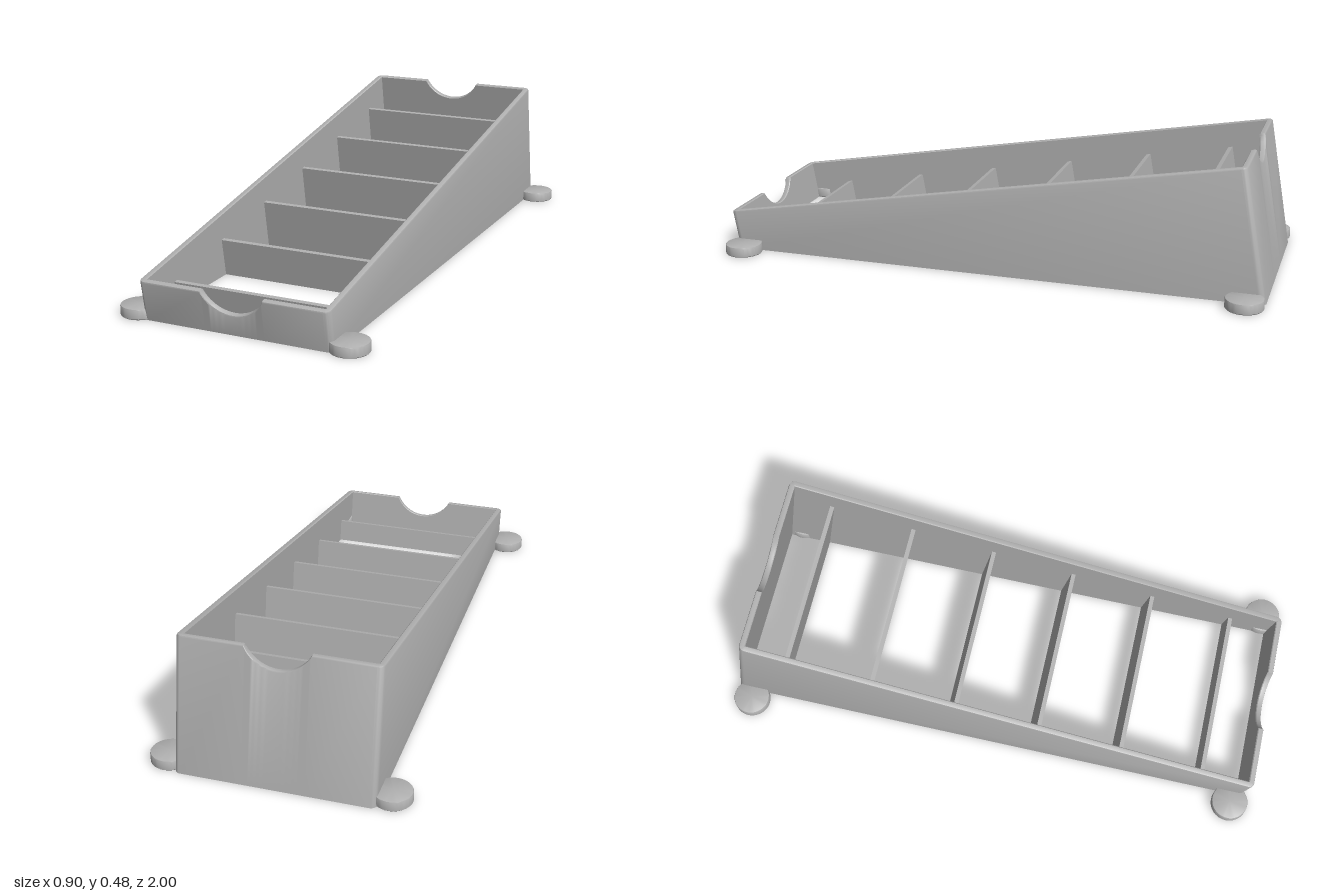
import * as THREE from 'three';
import { toCreasedNormals } from 'three/addons/utils/BufferGeometryUtils.js';

const TILT = THREE.MathUtils.degToRad(10); // the tray leans back by this angle
const HALF_X = 0.323, BACK = -0.962, FRONT = 0.938; // inner faces of the walls
const WALL = 0.022, RIM = 0.313, BEVEL = 0.006;
const SCOOP_R = 0.126, SCOOP_HALF = 0.113, SCOOP_RISE = 0.056;

// height, in the leaning frame, at which a point reaches the ground
const groundAt = (z) => z * Math.tan(TILT);

// Inner outline with outward directions and the depth of the thumb scoop
function outline() {
  const pts = [];
  const corners = [[HALF_X, FRONT], [-HALF_X, FRONT], [-HALF_X, BACK], [HALF_X, BACK]];
  corners.forEach(([x, z], i) => {
    for (let s = 0; s <= 6; s++) {
      const a = (i + s / 6) * Math.PI / 2;
      pts.push({ x, z, nx: Math.cos(a), nz: Math.sin(a), dip: 0 });
    }
    if (i % 2 === 0) { // front and back walls carry a scoop
      const side = i === 0 ? 1 : -1;
      for (let s = 0; s <= 28; s++) {
        const sx = side * SCOOP_HALF * Math.cos(Math.PI * s / 28);
        const dip = Math.max(0, Math.sqrt(SCOOP_R ** 2 - sx * sx) - SCOOP_RISE);
        pts.push({ x: sx, z, nx: 0, nz: side, dip });
      }
    }
  });
  return pts;
}

// Wall section swept round the outline, cut off flat at the ground
function wallGeometry() {
  const section = [ // [distance outward, drop below rim], null = ground
    [WALL, null], [WALL, BEVEL], [WALL - BEVEL * 0.3, BEVEL * 0.3], [WALL - BEVEL, 0],
    [BEVEL * 0.5, 0], [0, BEVEL * 0.5], [0, null],
  ];
  const pts = outline(), n = section.length, pos = [], index = [];
  pts.forEach((p) => section.forEach(([out, drop]) => {
    const z = p.z + p.nz * out;
    pos.push(p.x + p.nx * out, drop === null ? groundAt(z) : RIM - p.dip - drop, z);
  }));
  for (let k = 0; k < pts.length; k++) {
    const k2 = (k + 1) % pts.length;
    for (let j = 0; j < n; j++) {
      const j2 = (j + 1) % n;
      const a = k * n + j, b = k * n + j2, c = k2 * n + j, d = k2 * n + j2;
      index.push(a, b, c, b, d, c);
    }
  }
  const g = new THREE.BufferGeometry();
  g.setAttribute('position', new THREE.Float32BufferAttribute(pos, 3));
  g.setIndex(index);
  return toCreasedNormals(g, 0.5);
}

// Divider plate whose lower edge is trimmed to the ground
function dividerGeometry(zFront) {
  const t = 0.016, top = 0.221;
  const g = new THREE.BoxGeometry(HALF_X * 2 + 0.004, 1, t);
  const p = g.attributes.position;
  for (let i = 0; i < p.count; i++) {
    const z = p.getZ(i) + zFront - t / 2;
    p.setXYZ(i, p.getX(i), p.getY(i) > 0 ? top : groundAt(z), z);
  }
  g.computeVertexNormals();
  return g;
}

// Round foot with a recess underneath
function footGeometry() {
  const profile = [
    [0, 0.022], [0.042, 0.022], [0.042, 0.003], [0.045, 0], [0.064, 0], [0.067, 0.003],
    [0.067, 0.033], [0.0655, 0.036], [0.062, 0.0375], [0, 0.0375],
  ].map(([r, y]) => new THREE.Vector2(r, y));
  return toCreasedNormals(new THREE.LatheGeometry(profile, 40), 0.5);
}

export function createModel() {
  const model = new THREE.Group();
  model.name = 'slopedTray';
  const grey = new THREE.MeshStandardMaterial({ color: 0xb0b0b0 });
  grey.name = 'plainGrey';

  const add = (parent, name, geometry) => {
    const mesh = new THREE.Mesh(geometry, grey);
    mesh.name = name;
    parent.add(mesh);
    return mesh;
  };

  // Leaning tray: walls and six dividers
  const tray = new THREE.Group();
  tray.name = 'tray';
  tray.rotation.x = TILT;
  model.add(tray);
  add(tray, 'walls', wallGeometry());
  for (let i = 0; i < 6; i++) add(tray, 'divider', dividerGeometry(0.789 - i * 0.319));

  // Feet at the four corners
  const foot = footGeometry();
  for (const x of [-1, 1]) {
    for (const z of [-1, 1]) {
      const side = x > 0 ? 'Left' : 'Right';
      add(model, (z > 0 ? 'front' : 'back') + side + 'Foot', foot)
        .position.set(x * 0.383, 0, z * 0.932);
    }
  }
  return model;
}
